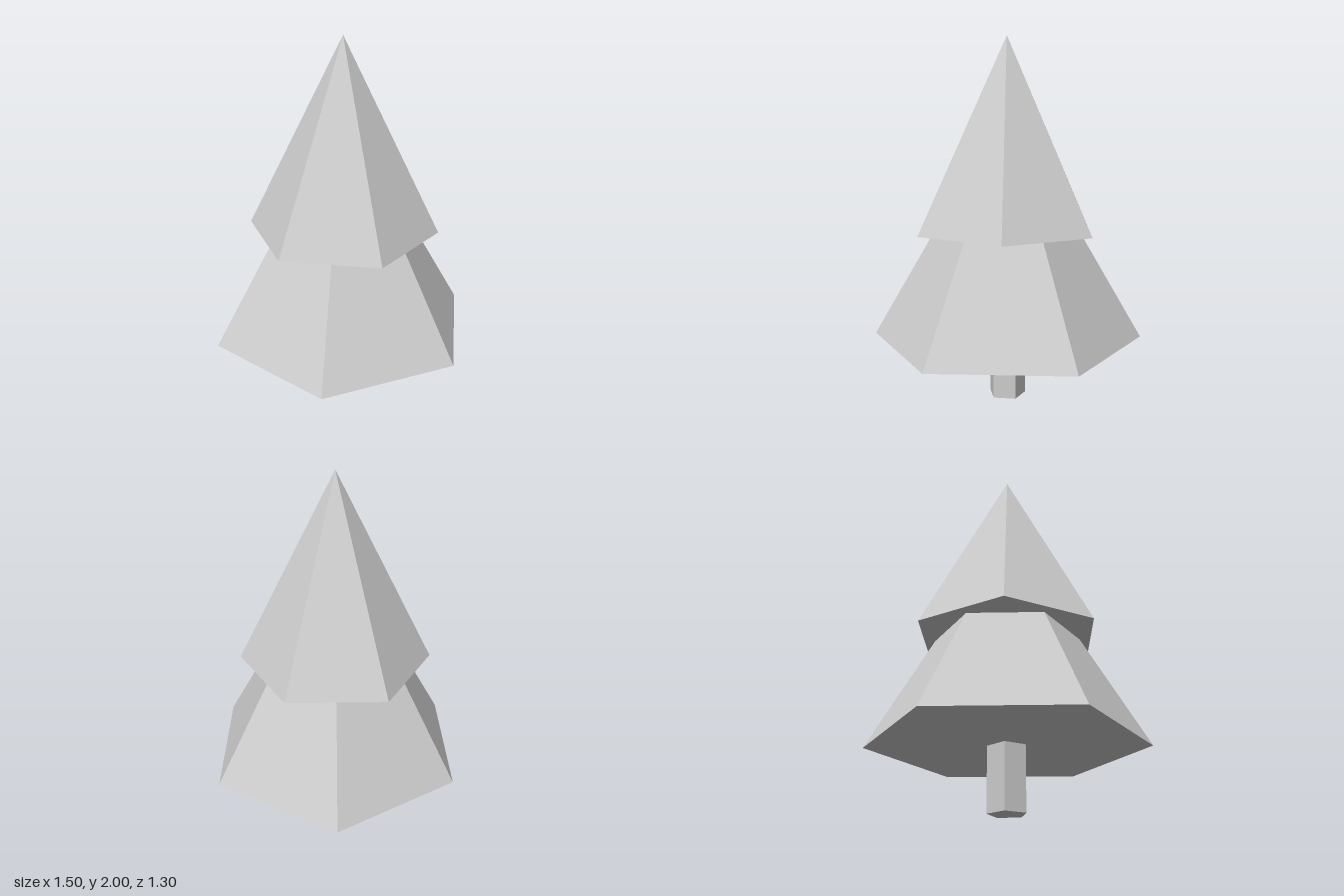
import * as THREE from 'three';

export function createModel() {
  const tree = new THREE.Group();
  tree.name = 'tree';

  const paleGrey = new THREE.MeshStandardMaterial({ color: 0xcccccc, flatShading: true });
  paleGrey.name = 'paleGrey';

  // Closed faceted prism or cone standing between two heights
  function addPart(name, topRadius, bottomRadius, bottom, top, sides, turn) {
    const geometry = new THREE.CylinderGeometry(
      topRadius, bottomRadius, top - bottom, sides, 1, false, turn);
    const mesh = new THREE.Mesh(geometry, paleGrey);
    mesh.name = name;
    mesh.position.y = (bottom + top) / 2;
    tree.add(mesh);
  }

  // Five-sided trunk with one corner towards +x
  addPart('trunk', 0.105, 0.105, 0, 0.345, 5, Math.PI / 2);
  // Wide lower foliage, corners on the x axis
  addPart('lowerFoliage', 0, 0.75, 0.345, 1.63, 6, Math.PI / 2);
  // Narrow upper foliage, corners on the z axis
  addPart('upperFoliage', 0, 0.527, 0.947, 2, 6, 0);

  return tree;
}
